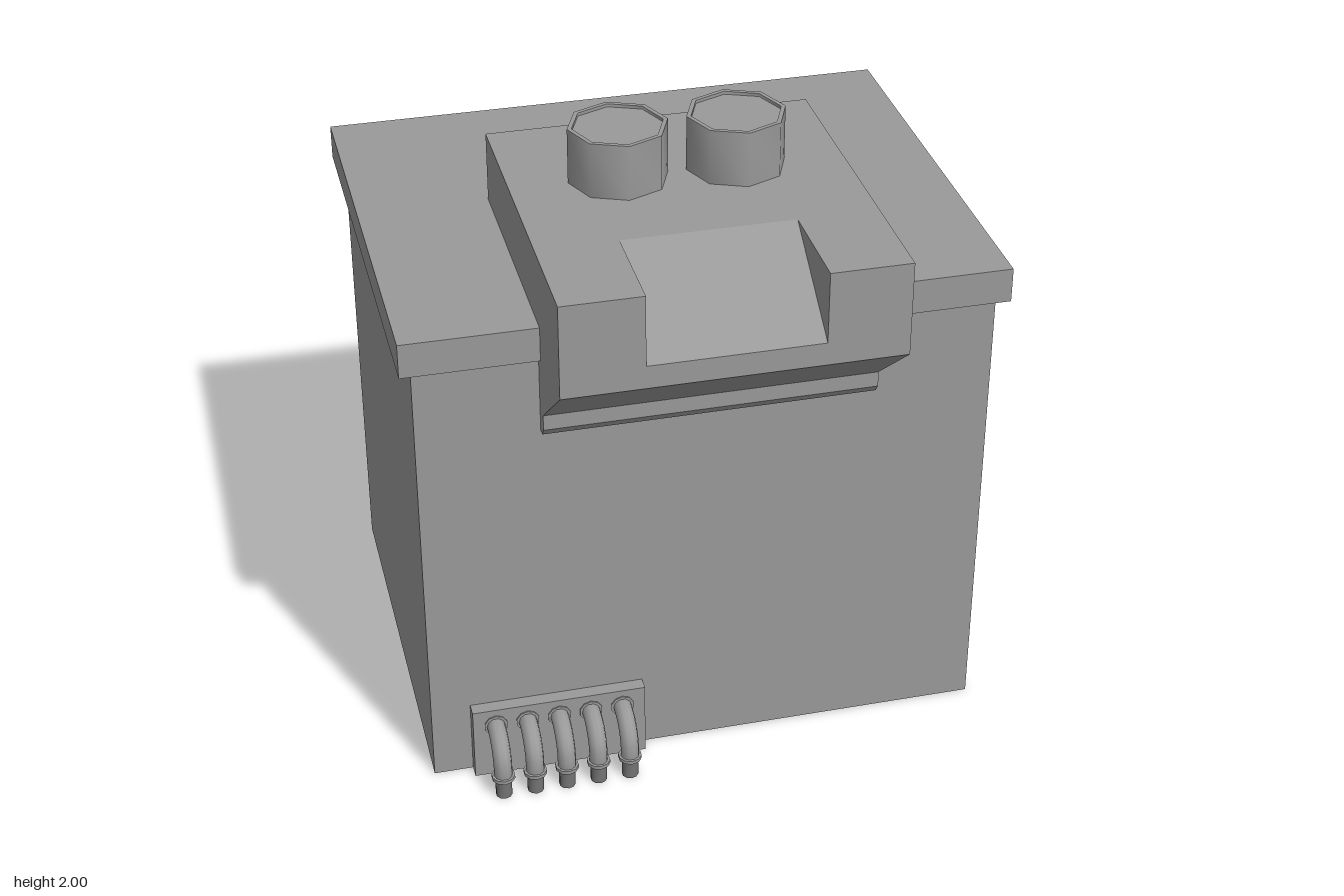
import * as THREE from 'three';
import { toCreasedNormals } from 'three/addons/utils/BufferGeometryUtils.js';

const grey = new THREE.MeshStandardMaterial({ color: 0x9a9a9a });
const darkGrey = new THREE.MeshStandardMaterial({ color: 0x747474 });

function add(parent, name, geometry, x = 0, y = 0, z = 0, material = grey) {
  const mesh = new THREE.Mesh(geometry, material);
  mesh.name = name;
  mesh.position.set(x, y, z);
  parent.add(mesh);
  return mesh;
}

// Box given by its limits on each axis
function block(parent, name, [x0, x1], [y0, y1], [z0, z1]) {
  return add(parent, name, new THREE.BoxGeometry(x1 - x0, y1 - y0, z1 - z0),
    (x0 + x1) / 2, (y0 + y1) / 2, (z0 + z1) / 2);
}

// Side profile of [z, y] points, extruded along x from x0 to x1
function slice(parent, name, points, x0, x1) {
  const shape = new THREE.Shape(points.map(([z, y]) => new THREE.Vector2(-z, y)));
  const geometry = new THREE.ExtrudeGeometry(shape, { depth: x1 - x0, bevelEnabled: false });
  geometry.rotateY(Math.PI / 2);
  return add(parent, name, geometry, x0, 0, 0);
}

export function createModel() {
  const model = new THREE.Group();
  model.name = 'rooftopUnit';

  // Main housing and overhanging lid
  block(model, 'body', [-0.883, 0.883], [0, 1.49], [-0.83, 0.545]);
  block(model, 'lid', [-0.92, 0.92], [1.49, 1.6], [-0.85, 0.575]);

  // Hood: two full-height cheeks around a middle with a sloping chute
  const hood = new THREE.Group();
  hood.name = 'hood';
  model.add(hood);
  const underside = [[0.85, 1.527], [0.59, 1.312], [0.59, 1.262], [0.57, 1.235], [0.5, 1.235], [0.5, 1.55], [-0.23, 1.55]];
  const full = [[-0.23, 1.825], [0.85, 1.825], ...underside];
  const cut = [[-0.23, 1.825], [0.525, 1.825], [0.85, 1.6], ...underside];
  slice(hood, 'hoodRight', full, -0.51, -0.263);
  slice(hood, 'hoodChute', cut, -0.263, 0.263);
  slice(hood, 'hoodLeft', full, 0.263, 0.51);

  // Eight-sided vents with a thin, slightly raised rim
  const ventProfile = [[0.152, 1.82], [0.152, 2], [0.138, 2], [0.138, 1.99], [0, 1.99]]
    .map(([r, y]) => new THREE.Vector2(r, y));
  const vent = toCreasedNormals(new THREE.LatheGeometry(ventProfile, 8), 0.9);
  for (const side of [-1, 1]) add(model, side < 0 ? 'ventRight' : 'ventLeft', vent, side * 0.18, 0, 0.145);

  // Row of bent pipes on a wall plate
  const pipes = new THREE.Group();
  pipes.name = 'pipeBank';
  model.add(pipes);
  block(pipes, 'pipePlate', [-0.76, -0.21], [0, 0.25], [0.54, 0.588]);
  const path = new THREE.CatmullRomCurve3([
    [0.58, 0.192], [0.615, 0.188], [0.65, 0.173], [0.682, 0.135], [0.69, 0.1], [0.69, 0.07],
  ].map(([z, y]) => new THREE.Vector3(0, y, z)));
  const bend = new THREE.TubeGeometry(path, 12, 0.029, 10);
  const collar = toCreasedNormals(new THREE.CylinderGeometry(0.037, 0.037, 0.012, 10), 0.9);
  const foot = toCreasedNormals(new THREE.CylinderGeometry(0.026, 0.026, 0.07, 10), 0.9);
  for (let i = 0; i < 5; i++) {
    const x = -0.688 + i * 0.101;
    add(pipes, 'pipeBend', bend, x);
    add(pipes, 'pipeCollar', collar, x, 0.071, 0.69);
    add(pipes, 'pipeFoot', foot, x, 0.035, 0.69, darkGrey);
    add(pipes, 'pipeFlange', collar, x, 0.192, 0.586).rotation.x = Math.PI / 2;
  }
  return model;
}
